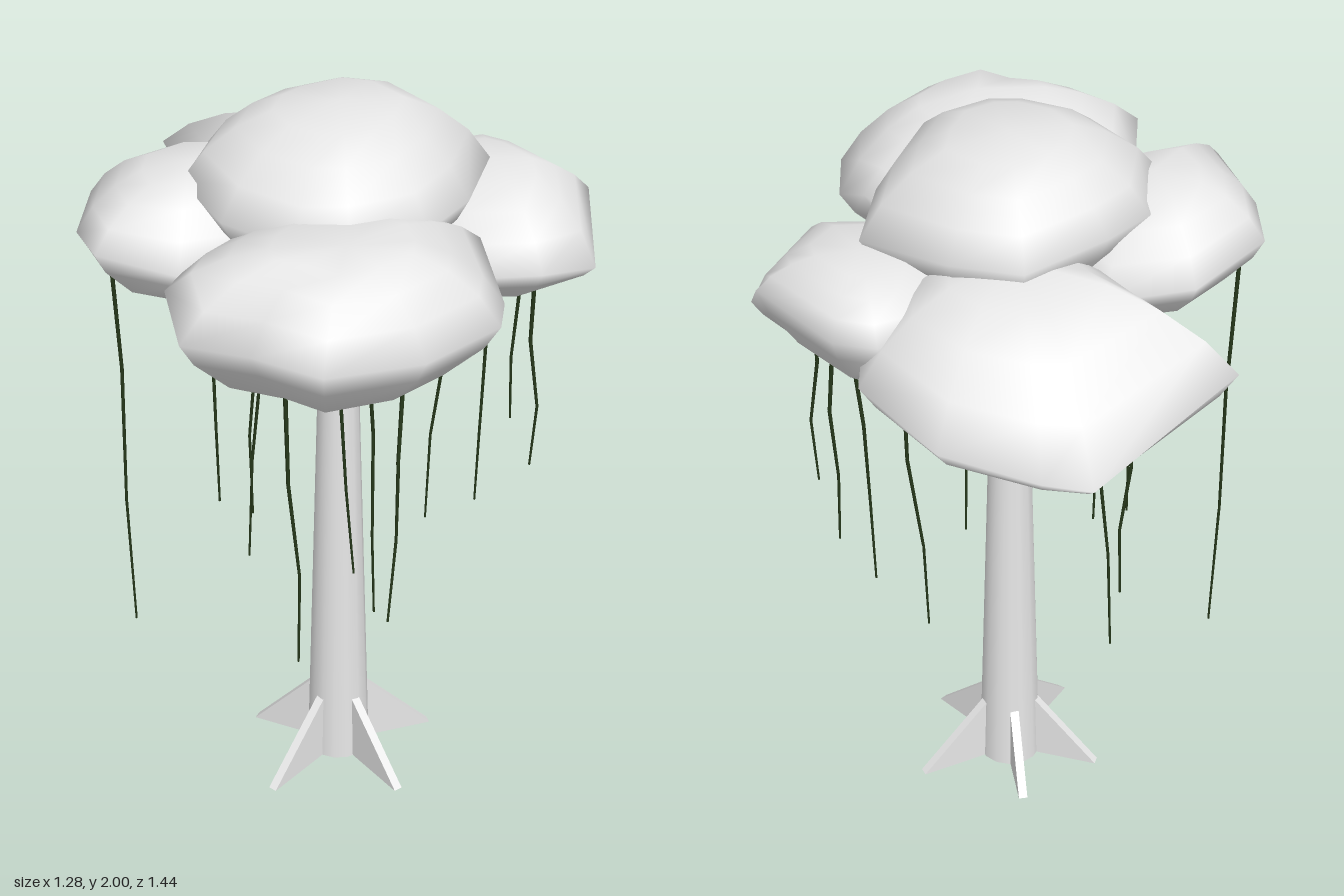
import * as THREE from 'three';

const bark = new THREE.MeshStandardMaterial({ color: 0xe7e7e7 });
bark.name = 'pale grey';
const vineGreen = new THREE.MeshStandardMaterial({ color: 0x26381a });
vineGreen.name = 'dark green';

// Vertical profile of a leaf clump: [outline scale, height from rim to top (+) or bottom (-)]
const RINGS = [[0.36, -0.9], [0.68, -0.62], [0.91, -0.25], [1, 0], [0.85, 0.4], [0.65, 0.72], [0.42, 0.93]];

// Leaf clump from a top point, a bottom point and a plan outline of [x, z, rimY]
function clump(top, bottom, outline) {
  const n = outline.length;
  const cx = outline.reduce((s, p) => s + p[0], 0) / n;
  const cz = outline.reduce((s, p) => s + p[1], 0) / n;
  const angle = (p) => Math.atan2(p[1] - cz, p[0] - cx);
  const rim = [...outline].sort((a, b) => angle(a) - angle(b));
  const pos = [...bottom];
  for (const [s, h] of RINGS) {
    const end = h < 0 ? bottom : top;
    for (const [x, z, y] of rim) {
      pos.push(
        x * s + end[0] * (1 - s),
        y + (end[1] - y) * Math.abs(h),
        z * s + end[2] * (1 - s));
    }
  }
  pos.push(...top);
  const last = 1 + n * RINGS.length;
  const index = [];
  for (let j = 0; j < n; j++) {
    const k = (j + 1) % n;
    index.push(0, 1 + j, 1 + k);
    for (let r = 0; r < RINGS.length - 1; r++) {
      const a = 1 + r * n, b = a + n;
      index.push(a + j, b + j, a + k, a + k, b + j, b + k);
    }
    index.push(last - n + j, last, last - n + k);
  }
  const geo = new THREE.BufferGeometry();
  geo.setAttribute('position', new THREE.Float32BufferAttribute(pos, 3));
  geo.setIndex(index);
  geo.computeVertexNormals();
  return geo;
}

const CLUMPS = {
  crownClump: [[0, 2.0, 0.01], [0, 1.56, 0.02], [
    [-0.39, -0.04, 1.82], [-0.27, -0.22, 1.82], [-0.12, -0.29, 1.83], [0.12, -0.33, 1.82],
    [0.27, -0.23, 1.83], [0.39, 0.02, 1.79], [0.26, 0.22, 1.79], [0.1, 0.37, 1.81],
    [-0.1, 0.39, 1.81], [-0.22, 0.34, 1.8], [-0.35, 0.18, 1.81]]],
  frontClump: [[-0.13, 1.86, 0.46], [-0.14, 1.41, 0.35], [
    [-0.53, 0.33, 1.74], [-0.53, 0.45, 1.66], [-0.39, 0.55, 1.66], [-0.27, 0.72, 1.68],
    [-0.02, 0.7, 1.66], [0.2, 0.6, 1.66], [0.26, 0.47, 1.64], [0.26, 0.3, 1.73],
    [0.18, 0.14, 1.68], [-0.02, 0.04, 1.68], [-0.28, 0.06, 1.68], [-0.45, 0.19, 1.7]]],
  backClump: [[0.1, 1.8, -0.23], [0.08, 1.34, -0.33], [
    [-0.28, -0.65, 1.62], [0.13, -0.72, 1.46], [0.25, -0.69, 1.5], [0.44, -0.53, 1.54],
    [0.53, -0.29, 1.6], [0.43, -0.08, 1.58], [0.2, 0.07, 1.55], [-0.08, 0.05, 1.53],
    [-0.23, -0.27, 1.54], [-0.25, -0.46, 1.58]]],
  leftClump: [[0.4, 1.78, 0.0], [0.36, 1.43, -0.02], [
    [0.18, -0.2, 1.66], [0.37, -0.27, 1.68], [0.47, -0.27, 1.68], [0.55, -0.19, 1.67],
    [0.64, 0.07, 1.69], [0.6, 0.23, 1.55], [0.41, 0.34, 1.62], [0.2, 0.26, 1.6], [0.08, 0.03, 1.62]]],
  rightClump: [[-0.35, 1.85, -0.08], [-0.33, 1.49, -0.08], [
    [-0.64, -0.1, 1.69], [-0.56, -0.28, 1.7], [-0.32, -0.37, 1.68], [-0.1, -0.31, 1.67],
    [-0.04, -0.05, 1.67], [-0.2, 0.16, 1.67], [-0.45, 0.16, 1.67], [-0.64, 0.1, 1.73]]],
};

// Hanging vines: [topX, topY, topZ, bottomX, bottomY, bottomZ]
const VINES = [
  [-0.54, 1.6, -0.2, -0.525, 0.42, -0.185],
  [-0.3, 1.54, -0.08, -0.3, 0.82, -0.1],
  [-0.27, 1.47, 0.42, -0.25, 0.67, 0.44],
  [-0.22, 1.53, -0.05, -0.22, 0.79, -0.06],
  [-0.11, 1.46, -0.22, -0.18, 0.51, -0.25],
  [-0.12, 1.46, -0.43, -0.08, 0.9, -0.475],
  [-0.01, 1.46, 0.26, 0.02, 0.62, 0.24],
  [-0.03, 1.48, 0.08, 0.01, 0.65, 0.1],
  [0.02, 1.46, 0.44, -0.03, 0.78, 0.49],
  [0.33, 1.46, -0.08, 0.285, 0.64, -0.1],
  [0.42, 1.49, 0.03, 0.385, 0.75, 0.01],
  [0.45, 1.53, 0.2, 0.46, 0.97, 0.2],
  [0.49, 1.55, -0.03, 0.5, 0.96, -0.04],
];

// Straight tapered limb between two points
function limb(a, b, r0, r1, sides, material) {
  const mesh = new THREE.Mesh(new THREE.CylinderGeometry(r1, r0, a.distanceTo(b), sides), material);
  mesh.position.copy(a).lerp(b, 0.5);
  mesh.quaternion.setFromUnitVectors(new THREE.Vector3(0, 1, 0), b.clone().sub(a).normalize());
  return mesh;
}

export function createModel() {
  const tree = new THREE.Group();
  tree.name = 'tree';
  const add = (name, mesh) => { mesh.name = name; tree.add(mesh); };

  // Tapered trunk
  const trunk = new THREE.Mesh(new THREE.CylinderGeometry(0.047, 0.086, 1.45, 14), bark);
  trunk.position.y = 0.725;
  add('trunk', trunk);

  // Buttress roots: triangular fins, [angle, reach]
  for (const [deg, reach] of [[0, 0.27], [71, 0.275], [148, 0.285], [222, 0.255], [286, 0.225]]) {
    const fin = new THREE.Shape([[0.03, 0], [reach, 0], [0.075, 0.2], [0.03, 0.2]].map((p) => new THREE.Vector2(...p)));
    const geo = new THREE.ExtrudeGeometry(fin, { depth: 0.024, bevelEnabled: false }).translate(0, 0, -0.012);
    const root = new THREE.Mesh(geo, bark);
    root.rotation.y = -THREE.MathUtils.degToRad(deg);
    add('buttressRoot', root);
  }

  // Branches up into the outer clumps
  for (const [x, z] of [[0.29, 0.03], [-0.27, -0.07], [-0.09, 0.27], [0.1, -0.27]]) {
    const from = new THREE.Vector3(x * 0.06, 1.22, z * 0.06);
    add('branch', limb(from, new THREE.Vector3(x, 1.54, z), 0.034, 0.026, 5, bark));
  }

  // Leaf clumps
  for (const [name, parts] of Object.entries(CLUMPS)) {
    add(name, new THREE.Mesh(clump(...parts), bark));
  }

  // Vines of three thinning, slightly wavering pieces
  VINES.forEach(([x0, y0, z0, x1, y1, z1], i) => {
    const points = [0, 0.33, 0.67, 1].map((t, k) => {
      const w = k % 3 ? 0.012 : 0;
      return new THREE.Vector3(
        x0 + (x1 - x0) * t + w * Math.sin(i * 2.1 + k * 1.7),
        y0 + (y1 - y0) * t,
        z0 + (z1 - z0) * t + w * Math.cos(i * 1.3 + k * 2.3));
    });
    const vine = new THREE.Group();
    for (let k = 0; k < 3; k++) {
      vine.add(limb(points[k], points[k + 1], 0.006 - k * 0.001, 0.005 - k * 0.001, 5, vineGreen));
    }
    add('vine', vine);
  });

  return tree;
}
